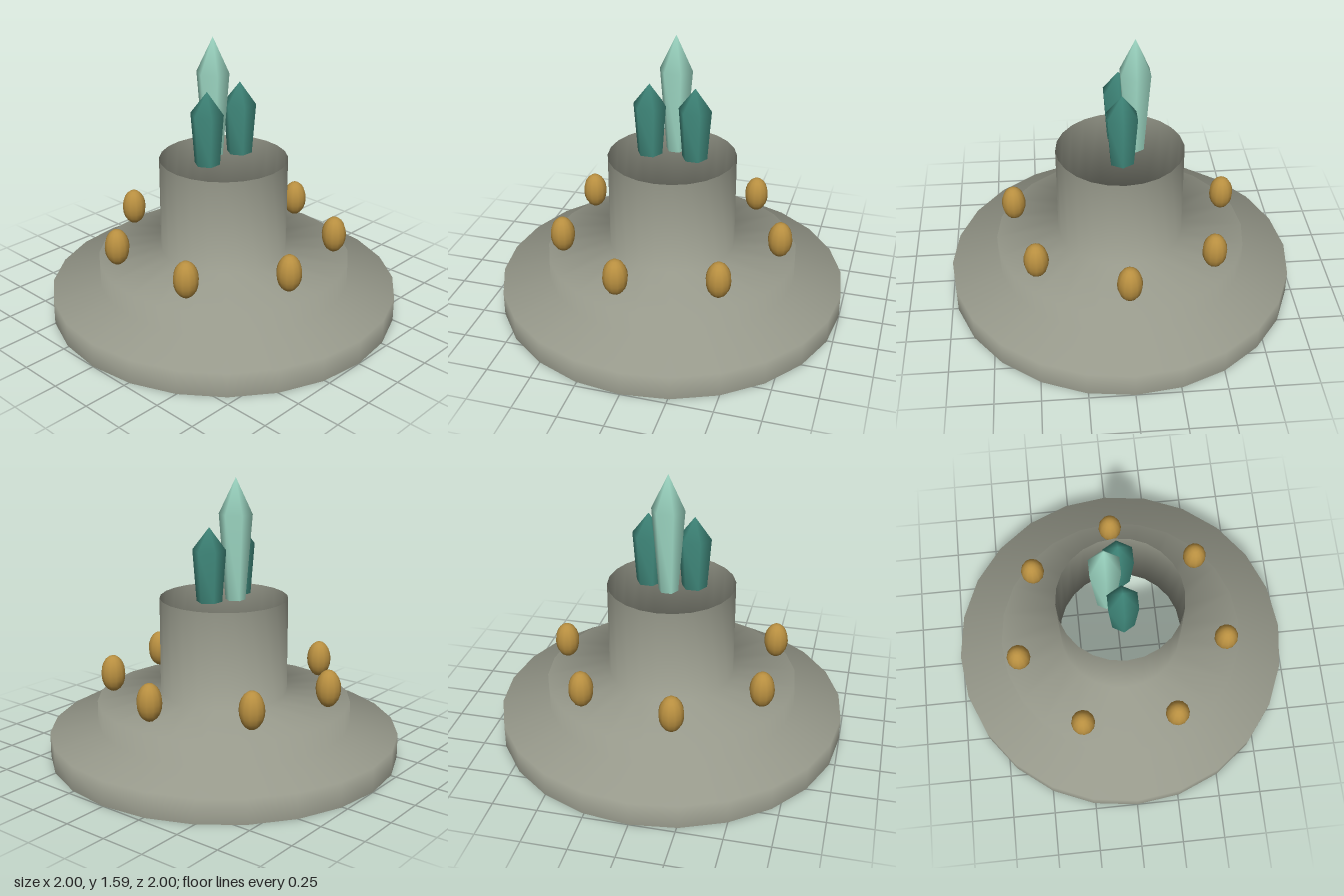
import * as THREE from 'three';
import { mergeVertices } from 'three/addons/utils/BufferGeometryUtils.js';

const paint = (name, color, side = THREE.FrontSide) => {
  const material = new THREE.MeshStandardMaterial({ color, side });
  material.name = name;
  return material;
};

// Open surface of revolution with fully smooth, welded normals
function turned(profile, sides) {
  const points = profile.map(([r, y]) => new THREE.Vector2(r, y));
  const lathe = new THREE.LatheGeometry(points, sides);
  lathe.deleteAttribute('uv');
  lathe.deleteAttribute('normal');
  const geometry = mergeVertices(lathe, 1e-4);
  geometry.computeVertexNormals();
  return geometry;
}

export function createModel() {
  const model = new THREE.Group();
  model.name = 'crystalPedestal';

  const stone = paint('stone', 0x96988a, THREE.DoubleSide);
  const gold = paint('gold', 0xb88f40);
  const paleCrystal = paint('paleCrystal', 0x9cd6c2, THREE.DoubleSide);
  const darkCrystal = paint('darkCrystal', 0x3f877a, THREE.DoubleSide);

  const add = (name, geometry, material, x, y, z) => {
    const mesh = new THREE.Mesh(geometry, material);
    mesh.name = name;
    mesh.position.set(x, y, z);
    model.add(mesh);
    return mesh;
  };

  // Hollow stepped pedestal, open at the top and bottom
  const steps = [[1, 0], [1, 0.14], [0.725, 0.185], [0.725, 0.32], [0.363, 0.365], [0.363, 0.91]];
  add('pedestal', turned(steps, 24), stone, 0, 0, 0);

  // Ring of egg-shaped beads above the upper step
  const egg = new THREE.SphereGeometry(1, 12, 10).scale(0.07, 0.106, 0.07);
  for (let i = 0; i < 7; i++) {
    const a = (i / 7) * Math.PI * 2;
    add('bead' + (i + 1), egg, gold, Math.cos(a) * 0.635, 0.46, Math.sin(a) * 0.635);
  }

  // Six-sided crystals with corners on the x axis
  const crystal = (foot, shoulder, tip) =>
    turned([[foot, 0], [0.094, shoulder], [0, tip]], 6).rotateY(Math.PI / 6);
  add('middleCrystal', crystal(0.056, 0.48, 0.68), paleCrystal, 0, 0.91, -0.082);
  const small = crystal(0.072, 0.29, 0.415);
  add('leftCrystal', small, darkCrystal, 0.13, 0.91, 0);
  add('rightCrystal', small, darkCrystal, -0.13, 0.91, 0);

  return model;
}
